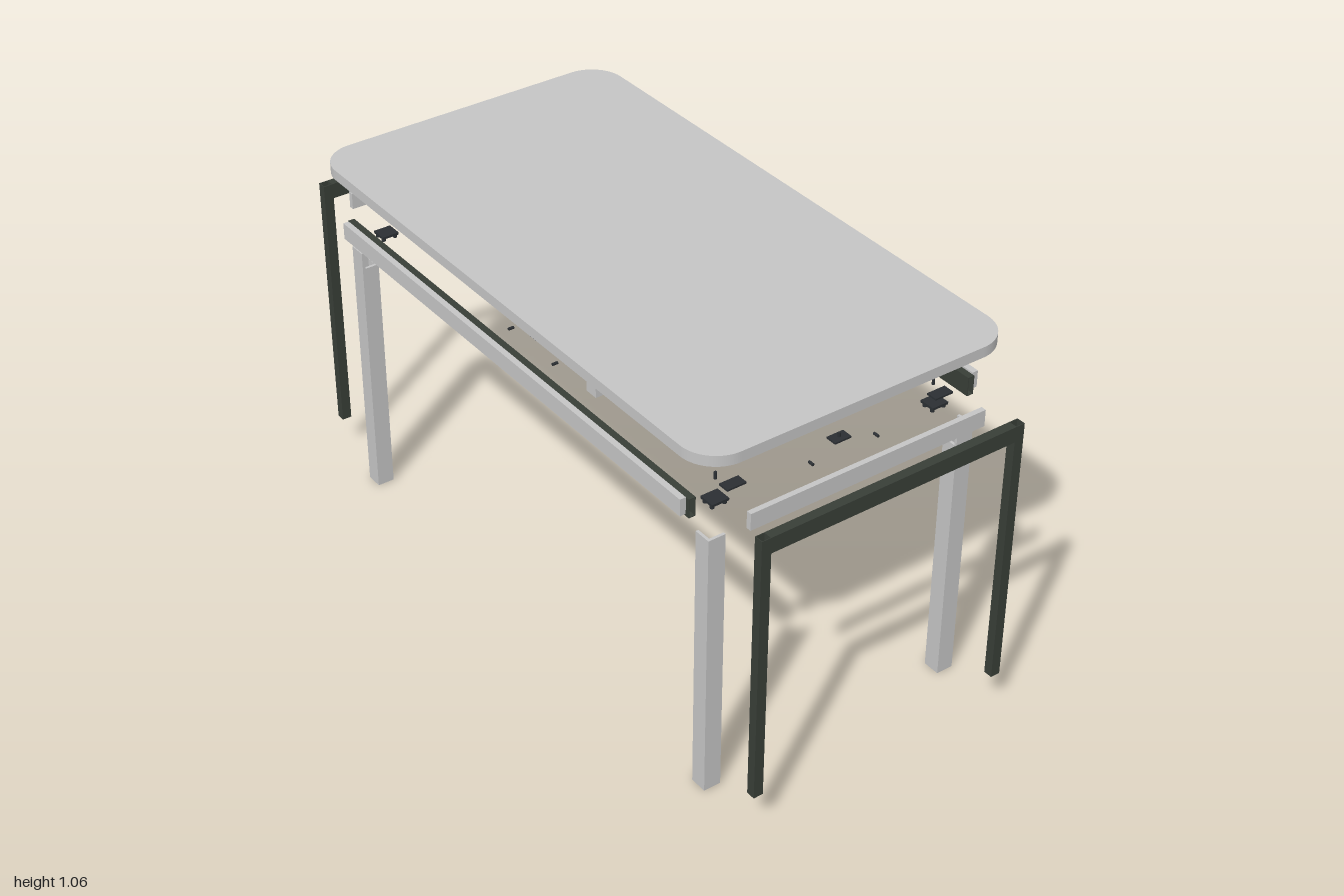
import * as THREE from 'three';

const panelGrey = new THREE.MeshStandardMaterial({ color: 0xc4c4c4 });
panelGrey.name = 'light grey';
const frameDark = new THREE.MeshStandardMaterial({ color: 0x383e37 });
frameDark.name = 'dark frame';
const hardwareDark = new THREE.MeshStandardMaterial({ color: 0x2b2f33 });
hardwareDark.name = 'dark hardware';

// Box given by its limits on each axis
function box(parent, name, mat, [x0, x1], [y0, y1], [z0, z1]) {
  const mesh = new THREE.Mesh(new THREE.BoxGeometry(x1 - x0, y1 - y0, z1 - z0), mat);
  mesh.position.set((x0 + x1) / 2, (y0 + y1) / 2, (z0 + z1) / 2);
  mesh.name = name;
  parent.add(mesh);
  return mesh;
}

// Upright round part
function pin(parent, name, r, x, y0, y1, z) {
  const mesh = new THREE.Mesh(new THREE.CylinderGeometry(r, r, y1 - y0, 12), hardwareDark);
  mesh.position.set(x, (y0 + y1) / 2, z);
  mesh.name = name;
  parent.add(mesh);
  return mesh;
}

// Open rectangular tube extruded along z, centred
function tubeGeometry(w, h, wall, length) {
  const rect = (C, a, b) => new C([
    new THREE.Vector2(-a, -b), new THREE.Vector2(a, -b),
    new THREE.Vector2(a, b), new THREE.Vector2(-a, b)]);
  const shape = rect(THREE.Shape, w / 2, h / 2);
  shape.holes.push(rect(THREE.Path, w / 2 - wall, h / 2 - wall));
  const geo = new THREE.ExtrudeGeometry(shape, { depth: length, bevelEnabled: false });
  return geo.translate(0, 0, -length / 2);
}

// Rounded rectangular table top
function tableTop() {
  const a = 0.875, b = 0.465, r = 0.1;
  const s = new THREE.Shape();
  s.absarc(a - r, b - r, r, 0, Math.PI / 2);
  s.absarc(-a + r, b - r, r, Math.PI / 2, Math.PI);
  s.absarc(-a + r, -b + r, r, Math.PI, Math.PI * 1.5);
  s.absarc(a - r, -b + r, r, Math.PI * 1.5, Math.PI * 2);
  const geo = new THREE.ExtrudeGeometry(s, { depth: 0.03, bevelEnabled: false, curveSegments: 16 });
  geo.rotateX(-Math.PI / 2).translate(0, 1.03, 0);
  const mesh = new THREE.Mesh(geo, panelGrey);
  mesh.name = 'tableTop';
  return mesh;
}

// Hollow leg cover, its two inner walls notched at the top
function legCover(sx, sz) {
  const g = new THREE.Group();
  g.name = 'legCover';
  const w = 0.008, h = 0.785, cut = 0.735, half = 0.025;
  const span = (s, a, b) => (s > 0 ? [a, b] : [-b, -a]);
  const outer = [half - w, half], inner = [-half, -half + w], mid = [-half + w, half - w];
  box(g, 'outerSideWall', panelGrey, span(sx, ...outer), [0, h], [-half, half]);
  box(g, 'outerEndWall', panelGrey, span(sx, -half, half - w), [0, h], span(sz, ...outer));
  box(g, 'innerSideWall', panelGrey, span(sx, ...inner), [0, cut], span(sz, ...mid));
  box(g, 'innerEndWall', panelGrey, span(sx, -half, half - w), [0, cut], span(sz, ...inner));
  g.position.set(sx * 0.79, 0, sz * 0.384);
  return g;
}

// Inverted U frame with open tube posts
function endFrame(sx) {
  const g = new THREE.Group();
  g.name = 'endFrame';
  const post = tubeGeometry(0.026, 0.028, 0.002, 0.785).rotateX(-Math.PI / 2);
  for (const sz of [-1, 1]) {
    const m = new THREE.Mesh(post, frameDark);
    m.name = 'framePost';
    m.position.set(0, 0.5025, sz * 0.385);
    g.add(m);
  }
  box(g, 'frameCrossbar', frameDark, [-0.013, 0.013], [0.85, 0.895], [-0.371, 0.371]);
  g.position.x = sx * 0.987;
  return g;
}

// Corner bracket plate with bolts
function cornerBracket(sx, sz) {
  const g = new THREE.Group();
  g.name = 'cornerBracket';
  box(g, 'bracketPlate', hardwareDark, [-0.023, 0.023], [0.835, 0.842], [-0.025, 0.025]);
  for (const x of [-0.014, 0.014]) for (const z of [-0.018, 0.018])
    pin(g, 'bracketBolt', 0.006, x, 0.826, 0.84, z);
  g.position.set(sx * 0.745, 0, sz * 0.339);
  return g;
}

export function createModel() {
  const model = new THREE.Group();
  model.name = 'explodedTable';
  model.add(tableTop());

  const railTube = tubeGeometry(0.0195, 0.054, 0.002, 1.552).rotateY(Math.PI / 2);
  const screwGeo = new THREE.CylinderGeometry(0.004, 0.004, 0.016, 10).rotateX(Math.PI / 2);

  function sideScrew(x, z, turn) {
    const m = new THREE.Mesh(screwGeo, hardwareDark);
    m.name = 'panelScrew';
    m.position.set(x, 0.873, z);
    m.rotation.y = turn;
    model.add(m);
  }

  for (const s of [-1, 1]) {
    // End frames and end cover panels
    model.add(endFrame(s));
    box(model, 'endPanel', panelGrey,
      s > 0 ? [0.891, 0.906] : [-0.906, -0.891], [0.85, 0.898], [-0.358, 0.358]);

    // Long rails and their cover panels
    const rail = new THREE.Mesh(railTube, frameDark);
    rail.name = 'longRail';
    rail.position.set(0, 0.868, s * 0.428);
    model.add(rail);
    box(model, 'longPanel', panelGrey, [-0.767, 0.767], [0.85, 0.898],
      s > 0 ? [0.44, 0.457] : [-0.457, -0.44]);

    // Screws for the panels
    for (const t of [-0.1, 0.1]) {
      sideScrew(t, s * 0.354, 0);
      sideScrew(s * 0.805, t, Math.PI / 2);
    }

    // Middle mounting plates
    box(model, 'longRailPlate', hardwareDark, [-0.02, 0.02], [0.893, 0.898],
      [s * 0.337 - 0.015, s * 0.337 + 0.015]);
    box(model, 'endFramePlate', hardwareDark, [s * 0.785 - 0.016, s * 0.785 + 0.016],
      [0.893, 0.898], [-0.025, 0.025]);
    pin(model, 'plateScrew', 0.004, 0, 0.89, 0.91, s * 0.337);
    pin(model, 'plateScrew', 0.004, s * 0.785, 0.89, 0.91, 0);
    pin(model, 'topInsert', 0.006, 0, 1.01, 1.023, s * 0.335);
    pin(model, 'topInsert', 0.006, s * 0.74, 1.01, 1.023, 0);

    // Corner parts
    for (const sz of [-1, 1]) {
      model.add(legCover(s, sz), cornerBracket(s, sz));
      box(model, 'cornerPlate', hardwareDark, [s * 0.785 - 0.016, s * 0.785 + 0.016],
        [0.893, 0.898], [sz * 0.318 - 0.028, sz * 0.318 + 0.028]);
      pin(model, 'cornerScrew', 0.004, s * 0.74, 0.89, 0.91, sz * 0.335);
      pin(model, 'topInsert', 0.006, s * 0.74, 1.01, 1.023, sz * 0.335);
    }
  }
  return model;
}
